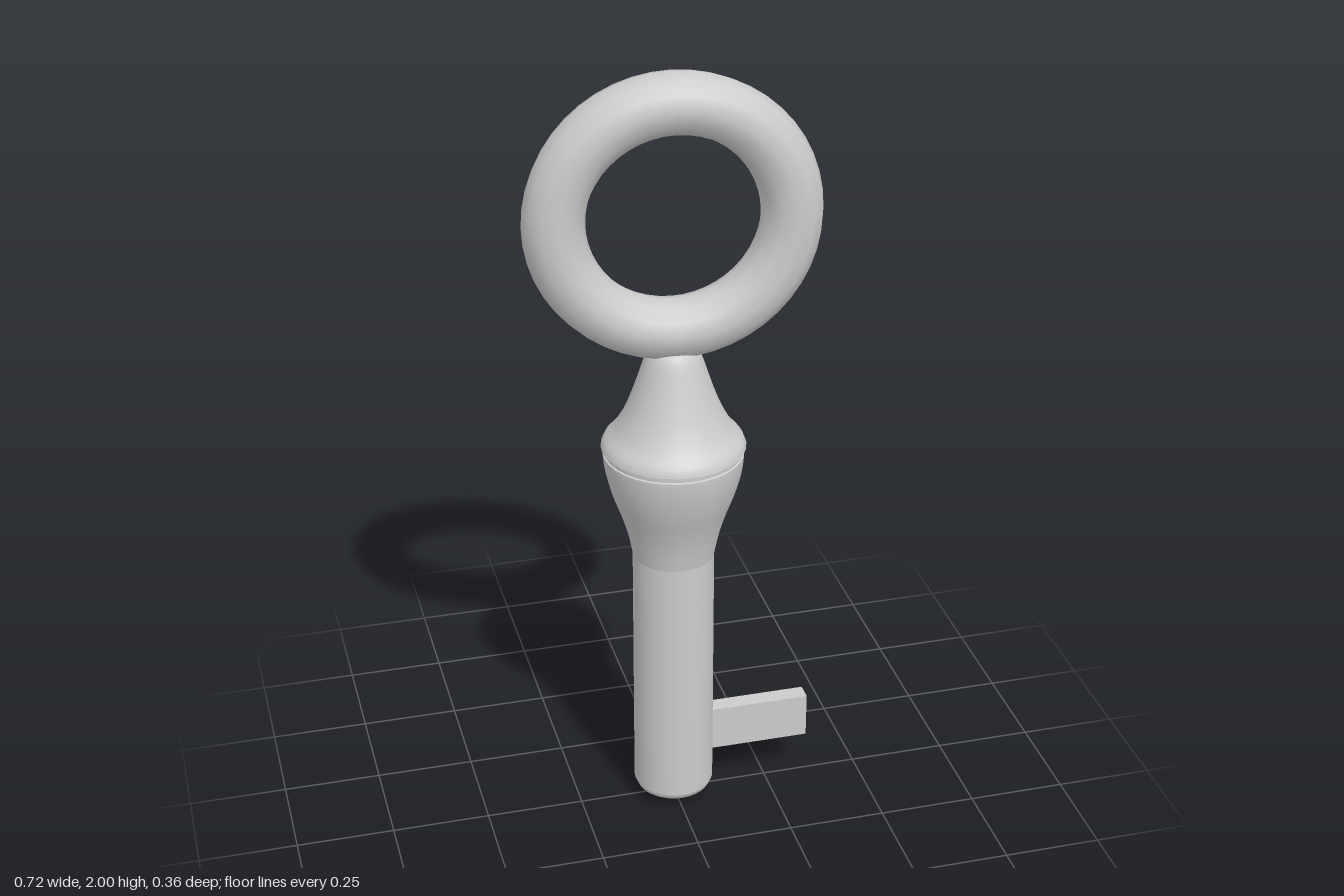
import * as THREE from 'three';

const material = new THREE.MeshStandardMaterial({ color: 0xcccccc, roughness: 0.7 });

function add(group, name, geometry, x = 0, y = 0, z = 0) {
  const mesh = new THREE.Mesh(geometry, material);
  mesh.name = name;
  mesh.position.set(x, y, z);
  group.add(mesh);
  return mesh;
}

// Turned part from [radius, height] pairs listed bottom to top
function turned(points, smoothSteps = 0) {
  let profile = points.map(([r, y]) => new THREE.Vector2(r, y));
  if (smoothSteps) profile = new THREE.SplineCurve(profile).getPoints(smoothSteps);
  profile.forEach((p) => { p.x = Math.max(p.x, 0); });
  return new THREE.LatheGeometry(profile, 32);
}

export function createModel() {
  const key = new THREE.Group();
  key.name = 'key';

  // Straight shaft with a rounded tip
  add(key, 'shaft', turned([
    [0, 0], [0.045, 0.006], [0.075, 0.017], [0.095, 0.032], [0.103, 0.05], [0.103, 0.73],
  ]));

  // Flare widening up to the collar
  add(key, 'flare', turned([
    [0.103, 0.73], [0.115, 0.79], [0.133, 0.85], [0.153, 0.905], [0.168, 0.96], [0.174, 1.0], [0.175, 1.018],
  ], 18));

  // Thin collar between flare and neck, with crisp edges
  add(key, 'collarLedge', turned([[0.175, 1.018], [0.171, 1.02]]));
  add(key, 'collar', turned([[0.171, 1.02], [0.171, 1.036]]));
  add(key, 'collarRim', turned([[0.171, 1.036], [0.18, 1.036]]));

  // Bell-shaped neck with a domed top that meets the ring
  add(key, 'neck', turned([
    [0.18, 1.036], [0.172, 1.056], [0.147, 1.085], [0.122, 1.13], [0.102, 1.18], [0.085, 1.23],
    [0.07, 1.275], [0.055, 1.3], [0.03, 1.31], [0, 1.313],
  ], 27));

  // Ring handle, turned slightly about the shaft
  const ring = add(key, 'ringHandle', new THREE.TorusGeometry(0.285, 0.076, 12, 48), 0, 1.639, 0);
  ring.rotation.y = -0.08;

  // Flat bit reaching out from the shaft
  add(key, 'bit', new THREE.BoxGeometry(0.3, 0.12, 0.045), 0.205, 0.19, 0.008);

  return key;
}
